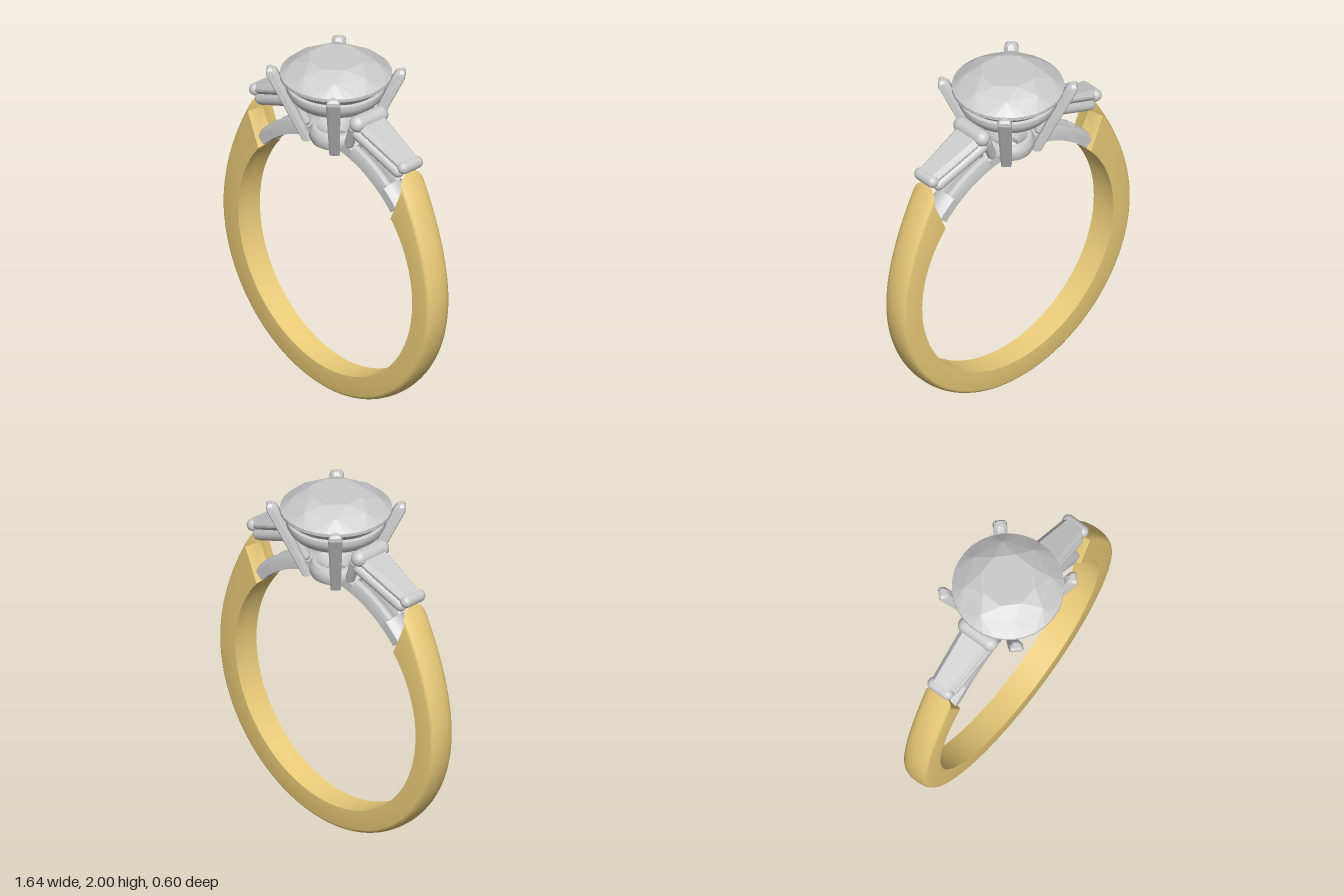
import * as THREE from 'three';
import { toCreasedNormals } from 'three/addons/utils/BufferGeometryUtils.js';
import { ConvexGeometry } from 'three/addons/geometries/ConvexGeometry.js';

const CY = 0.825, INNER = 0.68, DEG = Math.PI / 180;
const V = (x, y, z) => new THREE.Vector3(x, y, z);
const gold = new THREE.MeshStandardMaterial({ color: 0xeacb78 });
const grey = new THREE.MeshStandardMaterial({ color: 0xcccccc });
const facet = new THREE.MeshStandardMaterial({ color: 0xcccccc, flatShading: true });

function add(parent, name, geometry, material = grey) {
  const mesh = new THREE.Mesh(geometry, material);
  mesh.name = name;
  parent.add(mesh);
  return mesh;
}

// Point on the finger circle: angle from the top towards +x, radius, depth
const polar = (deg, r, z) => V(r * Math.sin(deg * DEG), CY + r * Math.cos(deg * DEG), z);

// Capped solid through a list of closed sections with equal point counts
function loft(sections, crease = 30) {
  const tris = [], n = sections[0].length;
  const quad = (a, b, c, d) => tris.push([a, b, c], [a, c, d]);
  for (let i = 0; i < sections.length - 1; i++)
    for (let j = 0; j < n; j++) {
      const k = (j + 1) % n, s = sections[i], t = sections[i + 1];
      quad(s[j], s[k], t[k], t[j]);
    }
  const cap = (s, flip) => {
    const c = s.reduce((sum, p) => sum.add(p), V(0, 0, 0)).divideScalar(n);
    s.forEach((p, j) => tris.push(flip ? [c, s[(j + 1) % n], p] : [c, p, s[(j + 1) % n]]));
  };
  cap(sections[0], true);
  cap(sections[sections.length - 1], false);
  // Turn the faces outward if the enclosed volume is negative
  const volume = tris.reduce((sum, [a, b, c]) => sum + a.dot(V(0, 0, 0).crossVectors(b, c)), 0);
  const points = tris.flatMap(([a, b, c]) => (volume < 0 ? [a, c, b] : [a, b, c]));
  return toCreasedNormals(new THREE.BufferGeometry().setFromPoints(points), crease * DEG);
}

// Domed band: shoulders rise towards the top and end in a pointed cut
function bandGeometry() {
  const rails = [[-1, 0, 49.5], [0, 0, 46], [1, 0, 49.5]]; // inner: z, dome, end angle
  const STEPS = 12;
  for (let i = 0; i <= STEPS; i++) {
    const t = (i / STEPS) * Math.PI;
    rails.push([Math.cos(t), Math.sin(t), 43.4 - 4.7 * Math.sin(t)]);
  }
  const sections = [];
  for (let i = 0; i <= 120; i++) {
    sections.push(rails.map(([z, dome, end], j) => {
      const a = end + (360 - 2 * end) * (i / 120);
      const fromTop = Math.min(a, 360 - a);
      const rise = Math.pow(Math.max(0, (90 - fromTop) / 51.3), 2.8);
      const width = 0.0775 - 0.0075 * Math.cos((180 - fromTop) * DEG);
      const outer = 0.79 + 0.108 * rise + 0.03 * dome;
      return polar(a, j < 3 ? INNER : outer, z * width);
    }));
  }
  return loft(sections);
}

// Curved bar of the bridge between two angles and two depths
function arcBar(a0, a1, z0, z1) {
  const sections = [], pad = (z1 - z0) * 0.2;
  for (let i = 0; i <= 16; i++) {
    const a = a0 + ((a1 - a0) * i) / 16;
    sections.push([[INNER, z0], [INNER, z1], [0.735, z1], [0.757, z1 - pad],
      [0.762, (z0 + z1) / 2], [0.757, z0 + pad], [0.735, z0]].map(([r, z]) => polar(a, r, z)));
  }
  return loft(sections, 40);
}

// Ring of points for the faceted stones
function circle(r, y, n, shift = 0) {
  return Array.from({ length: n }, (_, i) => {
    const a = ((i + shift) / n) * Math.PI * 2;
    return V(r * Math.cos(a), y, r * Math.sin(a));
  });
}

// Tapered claw leaning outward along +x, with a rounded tip
function prongGeometry() {
  const stations = [[1.5, 0.15, 0.055, 0.05], [1.9, 0.336, 0.076, 0.066],
    [1.922, 0.342, 0.066, 0.054], [1.935, 0.344, 0.04, 0.03]]; // y, radius, width, depth
  return loft(stations.map(([y, r, w, d]) => [[-0.5, -0.25], [-0.5, 0.25], [-0.1, 0.5],
    [0.4, 0.5], [0.5, 0.35], [0.5, -0.35], [0.4, -0.5], [-0.1, -0.5]]
    .map(([u, v]) => V(r + u * d, y, v * w))), 25);
}

// Rounded rod between two points
function rod(parent, name, a, b, radius) {
  const d = b.clone().sub(a);
  const mesh = add(parent, name, new THREE.CapsuleGeometry(radius, d.length(), 8, 18));
  mesh.position.copy(a).addScaledVector(d, 0.5);
  mesh.quaternion.setFromUnitVectors(V(0, 1, 0), d.normalize());
  return mesh;
}

const lathe = (profile) => toCreasedNormals(
  new THREE.LatheGeometry(profile.map(([r, y]) => new THREE.Vector2(r, y)), 64), 40 * DEG);

// One shoulder: slotted bridge half, tapered stone, its rails and end bars
function buildSide() {
  const side = new THREE.Group();
  add(side, 'bridgeCentre', arcBar(7, 15, -0.065, 0.065));
  add(side, 'bridgeEnd', arcBar(37, 47, -0.065, 0.065));
  for (const s of [-1, 1]) {
    add(side, 'bridgeRail', arcBar(15, 37, s < 0 ? -0.065 : 0.014, s < 0 ? -0.014 : 0.065));
    rod(side, 'stonePost', V(0.17, 1.57, s * 0.06), V(0.225, 1.69, s * 0.08), 0.026);
  }

  const setting = new THREE.Group();
  setting.name = 'sideSetting';
  setting.position.set(0.41, 1.635, 0);
  setting.rotation.z = -22 * DEG;
  side.add(setting);

  // Each level: height, half width at the inner end, half width at the outer end
  const corners = [[-0.045, 0.045, 0.025], [0.012, 0.096, 0.068], [0.024, 0.096, 0.068], [0.05, 0.072, 0.046]]
    .flatMap(([y, wi, wo]) => [-1, 1].flatMap((s) => [V(-0.17, y, s * wi), V(0.165, y, s * wo)]));
  add(setting, 'sideStone', new ConvexGeometry(corners), facet);
  for (const s of [-1, 1])
    rod(setting, 'sideRail', V(-0.16, -0.036, s * 0.07), V(0.15, -0.036, s * 0.046), 0.032);
  rod(setting, 'innerBar', V(-0.178, 0.032, -0.078), V(-0.178, 0.032, 0.078), 0.046);
  rod(setting, 'outerBar', V(0.176, 0.018, -0.046), V(0.176, 0.018, 0.046), 0.034);
  return side;
}

export function createModel() {
  const ring = new THREE.Group();
  ring.name = 'ring';
  add(ring, 'band', bandGeometry(), gold);

  // Shoulders, the right one turned half way round
  ['leftShoulder', 'rightShoulder'].forEach((name, i) => {
    const side = buildSide();
    side.name = name;
    side.rotation.y = i * Math.PI;
    ring.add(side);
  });

  // Pierced seat on top of the bridge
  add(ring, 'seat', lathe([[0.05, 1.505], [0.13, 1.505], [0.142, 1.53], [0.14, 1.565],
    [0.125, 1.588], [0.105, 1.592], [0.085, 1.575], [0.05, 1.535], [0.05, 1.505]]));

  // Gallery ring under the stone
  add(ring, 'galleryRing', lathe([[0.185, 1.765], [0.2, 1.752], [0.225, 1.756], [0.25, 1.785],
    [0.265, 1.815], [0.262, 1.838], [0.24, 1.846], [0.215, 1.835], [0.185, 1.765]]));

  // Round brilliant stone
  add(ring, 'centreStone', new ConvexGeometry([
    ...circle(0.15, 2, 8, 0.5), ...circle(0.232, 1.964, 8), ...circle(0.298, 1.908, 32),
    ...circle(0.298, 1.89, 32), ...circle(0.17, 1.775, 8, 0.5), V(0, 1.63, 0),
  ]), facet);

  // Four corner prongs
  const prong = prongGeometry();
  for (let i = 0; i < 4; i++)
    add(ring, 'prong', prong).rotation.y = (i + 0.5) * Math.PI / 2;
  return ring;
}
